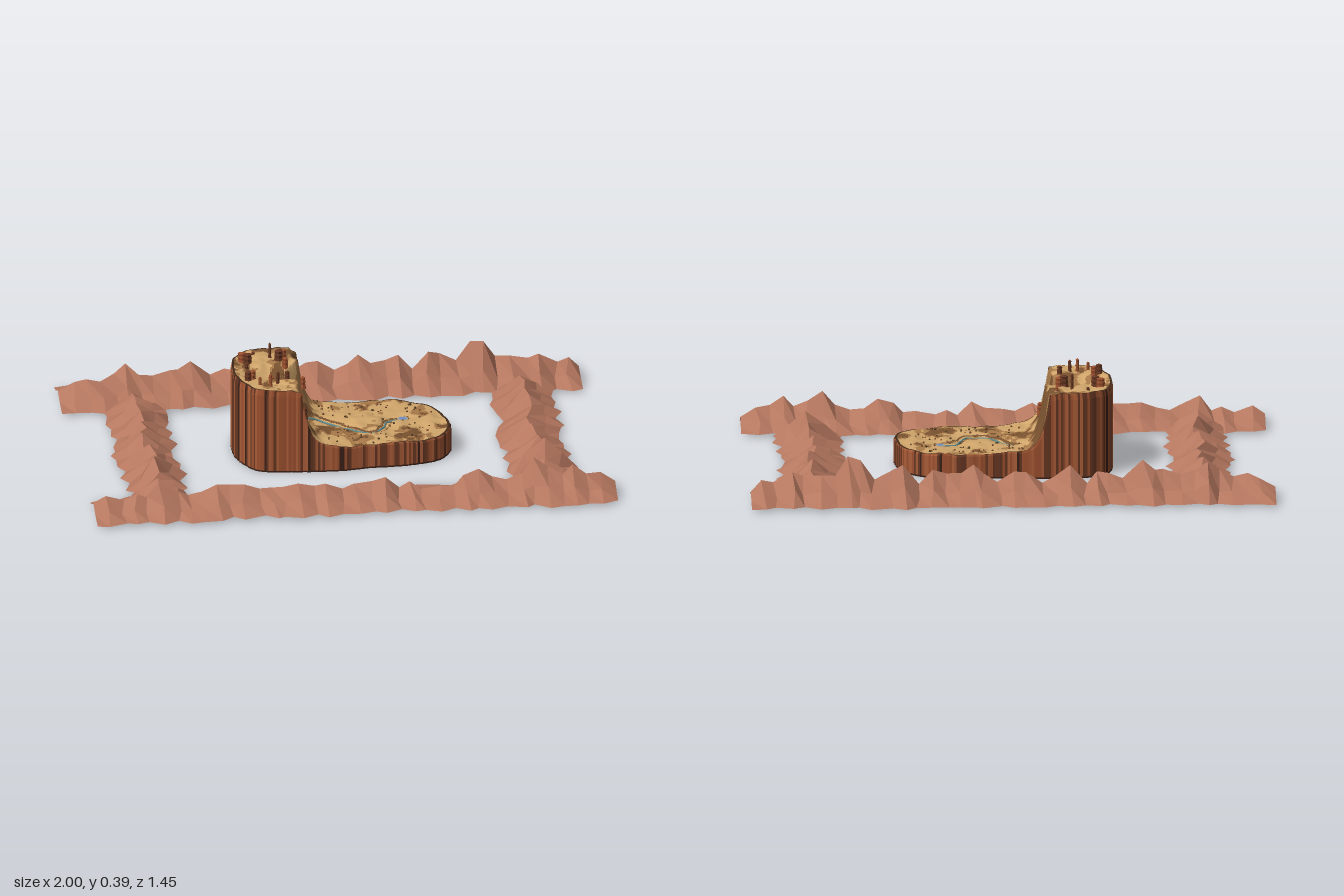
import * as THREE from 'three';

const mat = (color, flatShading = false) =>
  new THREE.MeshStandardMaterial({ color, flatShading, side: THREE.DoubleSide });

// Seeded hash in 0..1 and smooth value noise built on it
const hash = (a, b = 0) => {
  const s = Math.sin(a * 127.1 + b * 311.7) * 43758.5453;
  return s - Math.floor(s);
};
function noise(x, z) {
  const i = Math.floor(x), j = Math.floor(z);
  const f = THREE.MathUtils.smoothstep(x - i, 0, 1), g = THREE.MathUtils.smoothstep(z - j, 0, 1);
  const mix = THREE.MathUtils.lerp;
  return mix(mix(hash(i, j), hash(i + 1, j), f), mix(hash(i, j + 1), hash(i + 1, j + 1), f), g);
}
const bump = (d, w) => Math.exp(-((d / w) ** 2));

// Surface of nu x nv cells; pick(i, j, point) chooses the material of each cell
function gridMesh(name, nu, nv, point, materials, pick = () => 0) {
  const pos = [], pts = [], lists = materials.map(() => []);
  for (let j = 0; j <= nv; j++) for (let i = 0; i <= nu; i++) {
    const p = point(i, j);
    pts.push(p);
    pos.push(p.x, p.y, p.z);
  }
  for (let j = 0; j < nv; j++) for (let i = 0; i < nu; i++) {
    const a = j * (nu + 1) + i, b = a + 1, c = a + nu + 1, d = c + 1;
    lists[pick(i, j, pts[a])].push(a, b, c, b, d, c);
  }
  const geo = new THREE.BufferGeometry();
  geo.setAttribute('position', new THREE.Float32BufferAttribute(pos, 3));
  geo.setIndex(lists.flat());
  let start = 0;
  lists.forEach((l, k) => { geo.addGroup(start, l.length, k); start += l.length; });
  geo.computeVertexNormals();
  const mesh = new THREE.Mesh(geo, materials);
  mesh.name = name;
  return mesh;
}

// Jagged mountain ridge along x, with sharp [position, height] peaks;
// each cross-section swells or shrinks as a whole to form spurs
function mountainRange(name, from, to, halfWidth, seed, peaks) {
  const n = Math.round((to - from) / 0.053);
  const section = [[1, 0], [0.52, 0.42], [0, 1], [-0.52, 0.42], [-1, 0]];
  const step = (to - from) / n;
  return gridMesh(name, n, 4, (i, j) => {
    const end = i === 0 || i === n;
    const u = from + i * step + (end ? 0 : (hash(i, seed) - 0.5) * step * 0.5);
    let ridge = 0.052 + 0.035 * hash(i, seed + 1) + (i % 2) * 0.012;
    for (const [x, h] of peaks) {
      ridge = Math.max(ridge, h - Math.max(0, Math.abs(u - x) - step * 0.45) * 1.7);
    }
    if (end) ridge = 0.05;
    const [s, k] = section[j];
    const spur = (i % 2 ? 0.07 : -0.07) + 0.14 * (hash(i, seed + 2) - 0.5);
    const w = halfWidth * (1 + spur + 0.2 * (hash(i, seed + 3 + j) - 0.5));
    return new THREE.Vector3(
      u + (end ? 0 : (hash(i, seed + 9 + j) - 0.5) * 0.02),
      0.01 + (ridge - 0.01) * k * (j % 2 ? 1 + 2 * spur : 1),
      s * w + (noise(i * 0.35, seed) - 0.5) * 0.03 + (j === 2 ? (hash(i, seed + 30) - 0.5) * 0.03 : 0));
  }, [mat(0xb5775f, true)]);
}

// Rounded plan of the mesa
const rim = new THREE.CatmullRomCurve3([
  [0.425, 0], [0.422, 0.09], [0.37, 0.168], [0.25, 0.207], [0.1, 0.215], [0, 0.23], [-0.2, 0.22],
  [-0.32, 0.195], [-0.365, 0.13], [-0.393, 0.04], [-0.392, -0.08], [-0.375, -0.15], [-0.31, -0.21],
  [-0.2, -0.223], [-0.1, -0.226], [0, -0.213], [0.1, -0.217], [0.2, -0.226], [0.3, -0.2], [0.385, -0.13],
].map(([x, z]) => new THREE.Vector3(x, 0, z)), true);

// Stream in plan
const stream = new THREE.CatmullRomCurve3([
  [-0.14, -0.01], [-0.11, -0.04], [-0.06, -0.058], [0, -0.02], [0.05, 0.035], [0.1, 0.07], [0.15, 0.065],
  [0.18, 0.02], [0.2, -0.03], [0.26, -0.045],
].map(([x, z]) => new THREE.Vector3(x, 0, z)));
const streamPts = stream.getPoints(60);
const streamDist = (x, z) => Math.min(...streamPts.map(p => Math.hypot(p.x - x, p.z - z)));

// Terrain: high plateau, concave cliff with a central gully, low plain
function height(x, z) {
  const gully = bump(z - 0.005, 0.045);
  const edge = -0.145 - 0.09 * gully + 0.03 * (noise(z * 22, 4) - 0.5) - 0.02 * (z > 0 ? z / 0.2 : 0);
  const top = 0.332 - 0.06 * gully * THREE.MathUtils.smoothstep(x, -0.38, -0.26)
    + 0.012 * (noise(x * 35, z * 35) - 0.5);
  const low = 0.097 + 0.012 * (noise(x * 25 + 9, z * 25) - 0.5)
    - 0.015 * bump(streamDist(x, z), 0.022);
  const f = x < edge ? 1 : Math.exp(-(x - edge) / (0.03 + 0.015 * gully));
  return low + (top - low) * f;
}

export function createModel() {
  const root = new THREE.Group();
  const add = (parent, geo, material, name, x, y, z) => {
    const m = new THREE.Mesh(geo, material);
    m.name = name;
    m.position.set(x, y, z);
    parent.add(m);
    return m;
  };

  // Surrounding mountains
  const front = mountainRange('frontMountains', -1, 1, 0.127, 3,
    [[-0.97, 0.08], [-0.74, 0.12], [-0.5, 0.1], [0.1, 0.105], [0.46, 0.12], [0.7, 0.155], [0.84, 0.13]]);
  front.position.z = 0.565;
  const back = mountainRange('backMountains', -1, 1, 0.127, 51,
    [[-0.97, 0.085], [-0.88, 0.1], [-0.74, 0.15], [-0.6, 0.12], [-0.49, 0.155], [-0.35, 0.11], [-0.21, 0.14],
      [-0.02, 0.12], [0.16, 0.145], [0.29, 0.13], [0.43, 0.145], [0.61, 0.18], [0.76, 0.125], [0.86, 0.12]]);
  back.position.z = -0.567;
  const right = mountainRange('rightMountains', -0.5, 0.53, 0.112, 101,
    [[-0.3, 0.12], [0.05, 0.09], [0.3, 0.1]]);
  right.position.x = -0.735;
  const left = mountainRange('leftMountains', -0.48, 0.5, 0.118, 151,
    [[-0.3, 0.145], [-0.1, 0.1], [0.12, 0.09], [0.28, 0.1]]);
  left.position.x = 0.75;
  left.rotation.y = right.rotation.y = Math.PI / 2;
  root.add(front, back, left, right);

  // Mesa top, coloured in patches
  const mesa = new THREE.Group();
  mesa.name = 'mesa';
  root.add(mesa);
  const N = 240, R = 52;
  const rimPts = rim.getSpacedPoints(N);
  const ground = [0xd0a56a, 0xa67848, 0x79522f, 0x3f2a1b].map(c => mat(c));
  mesa.add(gridMesh('terrain', N, R, (i, j) => {
    const p = rimPts[i % N].clone().multiplyScalar(j / R);
    p.y = height(p.x, p.z);
    return p;
  }, ground, (i, j, p) => {
    if (j >= R - 1) return 3;
    const d = p.x > -0.2 ? streamDist(p.x, p.z) : 1;
    if (d > 0.012 && d < 0.02) return 2;
    const n = 0.65 * noise(p.x * 18, p.z * 14 + 5) + 0.35 * noise(p.x * 50, p.z * 50)
      + 0.1 * bump(p.x + 0.17, 0.12);
    return n > 0.72 ? 2 : n > 0.58 ? 1 : 0;
  }));

  // Striped vertical cliff wall, open underneath
  const rock = [0x9a4f2e, 0x653622, 0xa85c38, 0x3a2016].map(c => mat(c, true));
  mesa.add(gridMesh('cliffWall', N, 3, (i, j) => {
    const p = rimPts[i % N].clone();
    const y = height(p.x, p.z);
    p.multiplyScalar(1 + (j ? 0.004 + 0.01 * hash(i % N, 7) : 0));
    p.y = [y, y * 0.93, 0.006, 0][j];
    return p;
  }, rock, (i, j) => (j === 2 ? 3 : Math.floor(hash(i, 13) * 3.15))));

  // Rock spires with a bulging cap: x, z, height, radius
  const spireProfile = [[0, 0], [1, 0], [0.75, 0.35], [0.85, 0.55], [0.7, 0.7], [0.8, 0.88], [0, 1]]
    .map(([r, y]) => new THREE.Vector2(r, y));
  const spireGeo = new THREE.LatheGeometry(spireProfile, 7);
  [[-0.27, 0.145, 0.06, 0.008], [-0.24, 0.125, 0.055, 0.008], [-0.31, 0.14, 0.04, 0.008],
    [-0.35, 0.09, 0.045, 0.016], [-0.33, 0.075, 0.045, 0.014], [-0.2, 0.09, 0.04, 0.012],
    [-0.25, 0.0, 0.04, 0.014], [-0.23, 0.02, 0.04, 0.012], [-0.22, -0.015, 0.035, 0.012],
    [-0.34, -0.04, 0.03, 0.01], [-0.19, -0.06, 0.045, 0.014], [-0.33, -0.09, 0.05, 0.02],
    [-0.35, -0.11, 0.045, 0.02], [-0.21, -0.1, 0.05, 0.02], [-0.19, -0.115, 0.045, 0.014],
    [-0.24, -0.135, 0.07, 0.007], [-0.18, -0.17, 0.02, 0.008], [-0.3, -0.165, 0.02, 0.008],
    [-0.15, 0.04, 0.11, 0.022], [-0.13, 0.06, 0.05, 0.014], [-0.12, -0.085, 0.05, 0.014],
  ].forEach(([x, z, h, r], k) =>
    add(mesa, spireGeo, rock[k % 2], 'rockSpire', x, height(x, z) - 0.008, z).scale.set(r, h, r));

  // Small scrub scattered over the plain
  const stoneGeo = new THREE.IcosahedronGeometry(1, 0);
  const shrubMats = [mat(0x6e4528, true), mat(0x4d3a20, true), mat(0x8a5a38, true)];
  for (let k = 0; k < 130; k++) {
    const p = rimPts[Math.floor(hash(k, 1) * N)].clone().multiplyScalar(0.2 + 0.72 * Math.sqrt(hash(k, 2)));
    if (p.x < -0.05 || streamDist(p.x, p.z) < 0.02) continue;
    const s = 0.002 + 0.004 * hash(k, 3);
    add(mesa, stoneGeo, shrubMats[k % 3], 'scrub', p.x, height(p.x, p.z) + s * 0.4, p.z).scale.setScalar(s);
  }

  // Waterfall and stream draped on the ground, ending in a round pool
  const draped = streamPts.map(p => new THREE.Vector3(p.x, height(p.x, p.z) + 0.002, p.z));
  const water = mat(0x5d8c90);
  add(mesa, new THREE.TubeGeometry(new THREE.CatmullRomCurve3(draped), 120, 0.004, 6), water, 'stream', 0, 0, 0);
  const py = height(0.26, -0.045) + 0.006;
  add(mesa, new THREE.CylinderGeometry(0.016, 0.016, 0.006, 20), mat(0x6f8fc0), 'pool', 0.26, py, -0.045);
  add(mesa, new THREE.TorusGeometry(0.018, 0.004, 6, 20), mat(0xb9ad98), 'poolEdge', 0.26, py, -0.045)
    .rotation.x = Math.PI / 2;
  return root;
}
